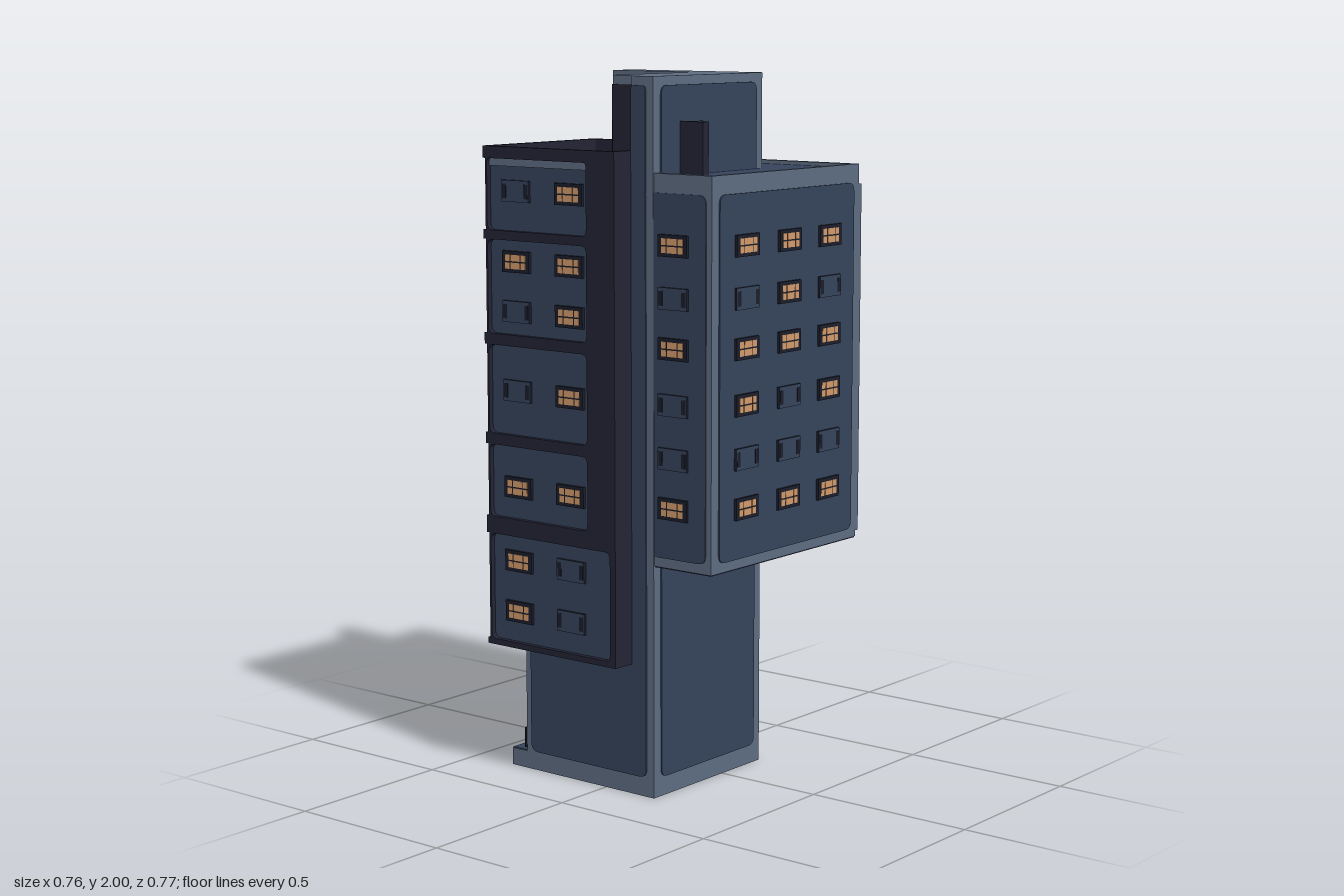
import * as THREE from 'three';

const mat = (name, color, side = THREE.FrontSide) => {
  const m = new THREE.MeshStandardMaterial({ color, side });
  m.name = name;
  return m;
};

export function createModel() {
  const slate = mat('slate trim', 0x5d6c82);
  const navy = mat('navy panel', 0x35435b);
  const dark = mat('dark frame', 0x232335);
  const black = mat('window frame', 0x1b1d2a);
  const amber = mat('lit glass', 0xd29a6a);
  const blue = mat('pool water', 0x3c5ab8);
  const violet = mat('violet light', 0x4a2fc8);

  const root = new THREE.Group();
  root.name = 'towerBlock';

  // Box given by its minimum and maximum on each axis
  function box(name, x0, x1, y0, y1, z0, z1, material) {
    const m = new THREE.Mesh(new THREE.BoxGeometry(x1 - x0, y1 - y0, z1 - z0), material);
    m.position.set((x0 + x1) / 2, (y0 + y1) / 2, (z0 + z1) / 2);
    m.name = name;
    root.add(m);
    return m;
  }

  // Rounded rectangle outline
  function rounded(x0, x1, y0, y1, r, Type = THREE.Shape) {
    const s = new Type();
    if (!r) {
      s.moveTo(x0, y0); s.lineTo(x1, y0); s.lineTo(x1, y1); s.lineTo(x0, y1); s.closePath();
      return s;
    }
    s.moveTo(x0 + r, y0);
    s.lineTo(x1 - r, y0); s.quadraticCurveTo(x1, y0, x1, y0 + r);
    s.lineTo(x1, y1 - r); s.quadraticCurveTo(x1, y1, x1 - r, y1);
    s.lineTo(x0 + r, y1); s.quadraticCurveTo(x0, y1, x0, y1 - r);
    s.lineTo(x0, y0 + r); s.quadraticCurveTo(x0, y0, x0 + r, y0);
    return s;
  }

  const extrude = (shape, depth) =>
    new THREE.ExtrudeGeometry(shape, { depth, bevelEnabled: false, curveSegments: 4 });

  // Wall directions: turn about y, and sign from world x or z to wall x
  const walls = {
    front: { turn: 0, sign: 1, axis: 'z', out: 1 },
    back: { turn: Math.PI, sign: -1, axis: 'z', out: -1 },
    east: { turn: Math.PI / 2, sign: -1, axis: 'x', out: 1 },
    west: { turn: -Math.PI / 2, sign: 1, axis: 'x', out: -1 },
  };

  // Thin plate on a wall; a hole is [u0, u1, y0, y1]
  function plate(name, wall, at, u0, u1, y0, y1, material, r = 0.025, holes = [], depth = 0.004) {
    const w = walls[wall];
    const span = (a, b) => [Math.min(w.sign * a, w.sign * b), Math.max(w.sign * a, w.sign * b)];
    const shape = rounded(...span(u0, u1), y0, y1, r);
    for (const h of holes) shape.holes.push(rounded(...span(h[0], h[1]), h[2], h[3], h[4] || 0, THREE.Path));
    const m = new THREE.Mesh(extrude(shape, depth), material);
    m.rotation.y = w.turn;
    m.position[w.axis] = at;
    m.name = name;
    root.add(m);
    return m;
  }

  // Flat ring seen from above, with a rounded opening [x0, x1, z0, z1]
  function ring(name, x0, x1, z0, z1, y, depth, hole, r, material) {
    const shape = rounded(x0, x1, -z1, -z0, 0);
    shape.holes.push(rounded(hole[0], hole[1], -hole[3], -hole[2], r, THREE.Path));
    const m = new THREE.Mesh(extrude(shape, depth), material);
    m.rotation.x = -Math.PI / 2;
    m.position.y = y;
    m.name = name;
    root.add(m);
  }

  // Window with six panes when lit, or a shut one with two dark slots
  const frameGeo = new THREE.BoxGeometry(0.1, 0.06, 0.009);
  const paneGeos = [0.017, 0.034].map(w => new THREE.BoxGeometry(w, 0.018, 0.003));
  const slotGeo = new THREE.BoxGeometry(0.014, 0.04, 0.002);
  const shut = [black, black, black, black, navy, black];
  function windowAt(wall, at, u, y, lit) {
    const w = walls[wall];
    const g = new THREE.Group();
    g.name = lit ? 'litWindow' : 'darkWindow';
    g.add(new THREE.Mesh(frameGeo, lit ? black : shut));
    const add = (geo, m, x, py, z) => {
      const p = new THREE.Mesh(geo, m);
      p.position.set(x, py, z);
      g.add(p);
    };
    if (lit) {
      for (const py of [-0.011, 0.011])
        for (const c of [-1, 0, 1]) add(paneGeos[c ? 0 : 1], amber, c * 0.029, py, 0.004);
    } else {
      for (const x of [-0.04, 0.04]) add(slotGeo, black, x, 0, 0.0045);
    }
    g.rotation.y = w.turn;
    g.position[w.axis] = at + w.out * 0.0045;
    g.position[w.axis === 'z' ? 'x' : 'z'] = u;
    g.position.y = y;
    root.add(g);
  }
  const windowGrid = (wall, at, cols, rows, pattern) =>
    rows.forEach((y, i) => cols.forEach((u, j) => windowAt(wall, at, u, y, pattern[i][j] === '1')));

  // Central core and entrance step
  box('core', -0.3, 0.175, 0, 1.755, -0.175, 0.31, slate);
  box('entranceStep', -0.357, -0.3, 0, 0.05, -0.175, 0.31, slate);
  box('stepTop', -0.355, -0.3, 0.05, 0.053, -0.173, 0.308, navy);

  // Crown of the core: L-shaped wing with a doorway through it
  box('crownWing', 0.01, 0.175, 1.755, 2, -0.175, 0.1, slate);
  box('crownWing', 0.01, 0.175, 1.755, 2, 0.175, 0.28, slate);
  box('crownLintel', 0.01, 0.175, 1.875, 2, 0.1, 0.175, slate);
  box('crownNose', 0.1, 0.175, 1.755, 2, 0.28, 0.31, slate);
  box('crownBackWall', -0.3, 0.01, 1.755, 2, -0.175, -0.088, slate);
  const doorway = [[0.1, 0.175, 1.755, 1.875]];
  plate('crownInnerWall', 'west', 0.01, -0.088, 0.28, 1.755, 1.975, dark, 0, [[0.1, 0.175, 1.7551, 1.875]]);
  plate('crownInnerWall', 'front', -0.088, -0.265, 0.01, 1.755, 1.975, dark, 0);
  plate('crownFrontWall', 'front', 0.28, 0.01, 0.1, 1.755, 1.975, dark, 0);
  box('roofDoor', 0.175, 0.257, 1.73, 1.877, 0.173, 0.199, dark);

  // Core wall panels
  plate('corePanel', 'front', 0.31, -0.28, 0.15, 0.055, 1.7, navy);
  plate('corePanel', 'front', 0.31, 0.1, 0.15, 1.68, 1.975, navy, 0.012);
  plate('corePanel', 'back', -0.175, -0.275, 0.15, 0.055, 1.975, navy);
  plate('corePanel', 'east', 0.175, -0.145, 0.28, 0.055, 1.975, navy, 0.025, doorway);
  plate('corePanel', 'west', -0.3, -0.145, 0.28, 0.055, 1.2, navy);

  // Upper block with raised roof rim and dark underside
  box('upperBlock', -0.302, 0.372, 0.664, 1.728, -0.372, 0.306, slate);
  box('upperBlockUnderside', -0.3, 0.37, 0.66, 0.664, -0.37, 0.304, dark);
  plate('upperPanel', 'east', 0.372, -0.345, 0.275, 0.69, 1.69, navy);
  plate('upperPanel', 'front', 0.306, 0.05, 0.354, 0.69, 1.69, navy, 0.025, [], 0.003);
  plate('upperPanel', 'back', -0.372, -0.28, 0.155, 0.69, 1.69, navy);
  plate('upperPanel', 'west', -0.302, -0.35, -0.165, 0.69, 1.69, navy);
  box('backSlab', 0.16, 0.372, 0.68, 1.685, -0.386, -0.372, slate);
  box('roofDeck', -0.29, 0.36, 1.728, 1.731, -0.36, 0.295, navy);
  ring('roofRim', -0.302, 0.372, -0.372, 0.306, 1.728, 0.014, [-0.28, 0.356, -0.352, 0.281], 0.008, slate);
  box('lightStrip', -0.309, -0.302, 0.68, 1.72, -0.157, -0.147, violet);

  // Front block body with dark ledges, pillar and back wall
  box('frontBlock', -0.365, 0.085, 0.38, 1.745, -0.085, 0.37, navy);
  for (const [y0, y1] of [[0.375, 0.392], [0.7, 0.75], [0.958, 0.99], [1.243, 1.275], [1.54, 1.566]])
    box('ledge', -0.38, 0.1, y0, y1, -0.09, 0.384, dark);
  box('pillar', 0.08, 0.1, 0.375, 1.77, 0.25, 0.384, dark);
  box('frontBlockBack', -0.38, 0.01, 0.375, 1.77, -0.095, -0.08, dark);
  const panels = [[0.392, 0.7, 0.08], [0.75, 0.958, 0], [0.99, 1.243, 0], [1.275, 1.54, 0], [1.566, 1.772, 0]];
  plate('frontFrame', 'front', 0.37, -0.37, 0.1, 0.375, 1.8, dark, 0,
    panels.map(([y0, y1, x1]) => [-0.364, x1, y0, y1, 0.02]), 0.015);

  // Terrace, parapet and pool
  ring('parapet', -0.38, 0.1, -0.095, 0.384, 1.766, 0.034, [-0.365, 0.085, -0.08, 0.37], 0.008, dark);
  ring('terrace', -0.37, 0.09, -0.085, 0.375, 1.745, 0.021, [-0.298, -0.018, 0, 0.25], 0.008, slate);
  box('poolWater', -0.31, -0.01, 1.745, 1.757, -0.01, 0.26, blue);

  // Windows
  const rows = [1.55, 1.407, 1.27, 1.116, 0.968, 0.83];
  windowGrid('east', 0.375, [0.16, -0.033, -0.222], rows, ['111', '010', '111', '101', '000', '111']);
  windowGrid('front', 0.308, [0.245], rows, ['1', '0', '1', '0', '0', '1']);
  windowGrid('back', -0.375, [0.032, -0.16], rows, ['11', '00', '11', '10', '00', '11']);
  windowGrid('west', -0.305, [-0.262], rows, ['1', '0', '1', '1', '0', '1']);
  const frontRows = [1.677, 1.48, 1.34, 1.116, 0.84, 0.627, 0.48];
  windowGrid('front', 0.37, [-0.265, -0.07], frontRows, ['01', '11', '01', '01', '11', '10', '10']);
  windowGrid('west', -0.365, [0.04, 0.235], frontRows, ['10', '11', '00', '11', '10', '01', '11']);

  // Entrance: door, lobby glass and domed canopy
  plate('entranceDoor', 'west', -0.304, 0.095, 0.175, 0.053, 0.145, dark, 0, [], 0.006);
  for (const z of [0.02, 0.25]) {
    plate('lobbyFrame', 'west', -0.304, z - 0.06, z + 0.06, 0.06, 0.12, black, 0, [], 0.004);
    for (const s of [-0.028, 0.028])
      plate('lobbyGlass', 'west', -0.308, z + s - 0.024, z + s + 0.024, 0.068, 0.112, amber, 0, [], 0.002);
  }
  const canopy = new THREE.Mesh(
    new THREE.SphereGeometry(0.065, 20, 6, 0, Math.PI * 2, 0, Math.PI / 2), dark);
  canopy.scale.y = 0.45;
  canopy.position.set(-0.3, 0.152, 0.135);
  canopy.name = 'canopy';
  const canopyLight = new THREE.Mesh(new THREE.CylinderGeometry(0.065, 0.065, 0.007, 20), violet);
  canopyLight.position.set(-0.3, 0.149, 0.135);
  canopyLight.name = 'canopyLight';
  root.add(canopy, canopyLight);

  return root;
}
